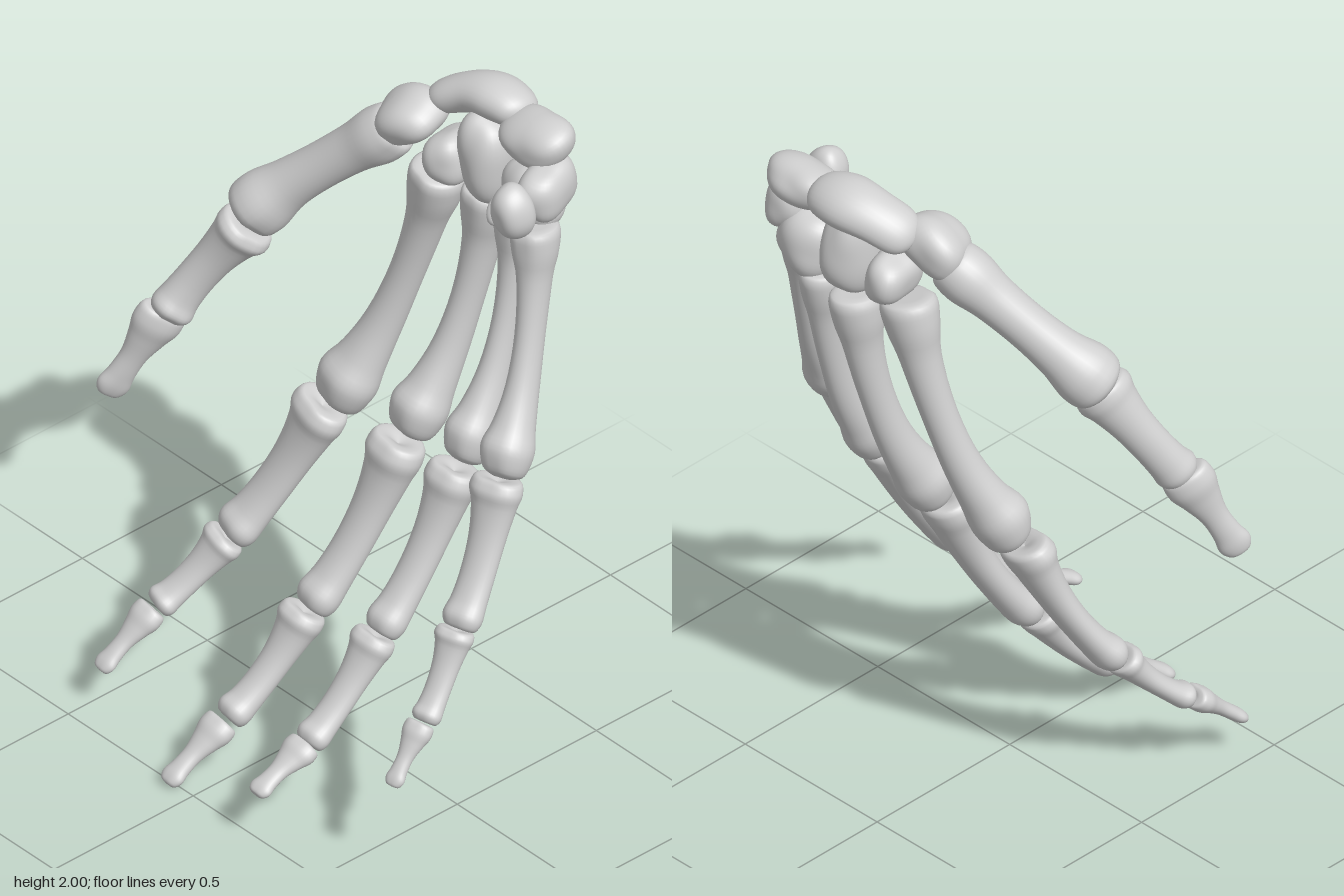
import * as THREE from 'three';

const V = (p) => new THREE.Vector3(...p);

// Profiles: [position along bone, side scale, depth scale, shift toward the palm]
const PROFILES = {
  metacarpal: [[0, 0, 0, 0], [0, 0.6, 0.65, 0], [0.03, 0.9, 0.98, 0], [0.1, 0.86, 0.9, 0], [0.22, 0.64, 0.7, 0],
    [0.45, 0.54, 0.6, 0], [0.65, 0.61, 0.66, 0], [0.8, 0.8, 0.82, 0.08], [0.89, 1, 1.02, 0.16], [0.96, 0.86, 0.86, 0.08], [0.995, 0.5, 0.5, 0], [1, 0, 0, 0]],
  thumbMetacarpal: [[0.02, 0, 0, 0], [0, 0.5, 0.5, 0], [0.03, 0.82, 0.85, 0], [0.12, 0.88, 0.9, 0], [0.28, 0.74, 0.76, 0],
    [0.5, 0.7, 0.72, 0], [0.7, 0.78, 0.78, 0], [0.86, 0.98, 0.98, 0.08], [0.93, 0.96, 0.96, 0.1], [0.99, 0.6, 0.6, 0], [1, 0, 0, 0]],
  phalanx: [[0.03, 0, 0, 0], [0, 0.6, 0.6, 0], [0.02, 0.93, 0.95, 0], [0.08, 1, 1, 0.05], [0.18, 0.86, 0.84, 0],
    [0.4, 0.7, 0.67, -0.04], [0.65, 0.66, 0.61, -0.04], [0.82, 0.69, 0.66, 0], [0.92, 0.75, 0.76, 0.08], [0.98, 0.64, 0.62, 0.05], [1, 0.35, 0.35, 0], [1, 0, 0, 0]],
  tip: [[0.03, 0, 0, 0], [0, 0.6, 0.6, 0], [0.04, 0.96, 0.95, 0], [0.15, 1, 1, 0], [0.32, 0.78, 0.78, 0],
    [0.55, 0.54, 0.58, 0], [0.75, 0.56, 0.56, 0], [0.88, 0.66, 0.55, 0], [0.97, 0.5, 0.42, 0], [1, 0, 0, 0]],
  arch: [[0, 0, 0, 0], [0.01, 0.5, 0.5, 0], [0.12, 0.82, 0.8, 0], [0.35, 0.9, 0.9, 0],
    [0.65, 1, 1, 0], [0.88, 0.85, 0.85, 0], [0.99, 0.45, 0.45, 0], [1, 0, 0, 0]],
};

// Loft of oval cross-sections along a three-point curve
function loft(a, mid, b, w, d, profile, sideRef) {
  const path = new THREE.QuadraticBezierCurve3(a, mid.clone().multiplyScalar(2).addScaledVector(a, -0.5).addScaledVector(b, -0.5), b);
  const rows = PROFILES[profile];
  const spline = (i) => new THREE.CatmullRomCurve3(rows.map((r) => new THREE.Vector3(r[0], r[i], 0)), false, 'centripetal');
  const [ws, ds, os] = [1, 2, 3].map(spline);
  const N = 44, M = 28, pos = [], idx = [];
  for (let i = 0; i <= N; i++) {
    const u = i / N, sw = ws.getPoint(u), sd = ds.getPoint(u), so = os.getPoint(u);
    const t = THREE.MathUtils.clamp(sw.x, 0, 1);
    const c = path.getPoint(t), T = path.getTangent(t);
    const S = sideRef.clone().addScaledVector(T, -sideRef.dot(T)).normalize();
    const B = T.clone().cross(S);
    for (let j = 0; j < M; j++) {
      const q = (j / M) * Math.PI * 2, cs = Math.cos(q), sn = Math.sin(q);
      // a shallow groove on the palm side near both ends
      const groove = sn > 0 ? 1 - 0.14 * Math.exp(-((cs / 0.4) ** 2)) * Math.abs(2 * t - 1) ** 3 : 1;
      const p = c.clone().addScaledVector(S, cs * w * Math.max(0, sw.y))
        .addScaledVector(B, sn * d * groove * Math.max(0, sd.y) + so.y * d);
      pos.push(p.x, p.y, p.z);
      if (i < N) {
        const k = (j + 1) % M, r = i * M;
        idx.push(r + j, r + k, r + M + j, r + k, r + M + k, r + M + j);
      }
    }
  }
  const g = new THREE.BufferGeometry();
  g.setAttribute('position', new THREE.Float32BufferAttribute(pos, 3));
  g.setIndex(idx);
  g.computeVertexNormals();
  return g;
}

// Long bone, bowed away from the palm
function boneGeometry(a, b, w, d, profile, bow, ref) {
  const A = V(a), Bv = V(b), side = V(ref);
  const back = Bv.clone().sub(A).cross(side).normalize().negate();
  return loft(A, A.clone().lerp(Bv, 0.5).addScaledVector(back, bow), Bv, w, d, profile, side);
}

// Wrist pebble: squarish ellipsoid with gentle lumps
function pebbleGeometry(r, seed) {
  const g = new THREE.SphereGeometry(1, 36, 24), p = g.attributes.position, v = new THREE.Vector3();
  for (let i = 0; i < p.count; i++) {
    v.fromBufferAttribute(p, i);
    const k = (Math.abs(v.x) ** 2.5 + Math.abs(v.y) ** 2.5 + Math.abs(v.z) ** 2.5) ** (-1 / 2.5);
    const lump = 1 + 0.08 * Math.sin(3 * v.x + seed) * Math.cos(2.6 * v.y + seed * 2) + 0.06 * Math.sin(3.2 * v.z + seed * 1.7);
    v.multiplyScalar(k * lump);
    p.setXYZ(i, v.x * r[0], v.y * r[1], v.z * r[2]);
  }
  g.computeVertexNormals();
  // match normals across the sphere seam
  const n = g.attributes.normal;
  for (let y = 0; y <= 24; y++) {
    const s = y * 37, e = s + 36;
    const m = new THREE.Vector3().fromBufferAttribute(n, s).add(v.fromBufferAttribute(n, e)).normalize();
    n.setXYZ(s, m.x, m.y, m.z);
    n.setXYZ(e, m.x, m.y, m.z);
  }
  return g;
}

// Each finger: bones as [start, end, half width, half depth, bow]
const FINGERS = {
  thumb: { ref: [0.5, -0.3, -0.8], bones: [
    [[-0.07, 1.79, -0.3], [-0.43, 1.425, -0.065], 0.092, 0.09, 0.01],
    [[-0.39, 1.415, -0.055], [-0.545, 1.11, 0.11], 0.085, 0.078, 0.01],
    [[-0.545, 1.125, 0.11], [-0.645, 0.85, 0.232], 0.072, 0.05, 0]] },
  indexFinger: { ref: [1, -0.1, 0.15], bones: [
    [[0.015, 1.665, -0.37], [-0.19, 0.865, -0.18], 0.09, 0.082, 0.05],
    [[-0.215, 0.865, -0.165], [-0.36, 0.445, 0.04], 0.092, 0.068, 0.02],
    [[-0.36, 0.45, 0.055], [-0.44, 0.26, 0.235], 0.068, 0.05, 0.008],
    [[-0.44, 0.262, 0.25], [-0.47, 0.12, 0.415], 0.052, 0.036, 0]] },
  middleFinger: { ref: [1, 0, 0.05], bones: [
    [[0.15, 1.645, -0.43], [0.07, 0.89, -0.21], 0.08, 0.082, 0.055],
    [[0.065, 0.885, -0.185], [-0.01, 0.405, 0.065], 0.088, 0.074, 0.025],
    [[-0.012, 0.41, 0.085], [-0.06, 0.135, 0.32], 0.071, 0.06, 0.018],
    [[-0.057, 0.14, 0.34], [-0.08, 0.01, 0.525], 0.056, 0.04, 0]] },
  ringFinger: { ref: [1, 0, -0.05], bones: [
    [[0.28, 1.655, -0.42], [0.305, 0.935, -0.195], 0.07, 0.078, 0.055],
    [[0.305, 0.93, -0.17], [0.285, 0.49, 0.083], 0.08, 0.068, 0.025],
    [[0.288, 0.498, 0.1], [0.27, 0.235, 0.33], 0.068, 0.053, 0.015],
    [[0.273, 0.243, 0.34], [0.263, 0.155, 0.515], 0.054, 0.036, 0]] },
  littleFinger: { ref: [1, 0.1, -0.25], bones: [
    [[0.4, 1.685, -0.37], [0.515, 1.015, -0.15], 0.073, 0.077, 0.045],
    [[0.52, 1.028, -0.13], [0.58, 0.655, 0.065], 0.078, 0.06, 0.02],
    [[0.58, 0.66, 0.075], [0.614, 0.44, 0.22], 0.058, 0.045, 0.008],
    [[0.612, 0.443, 0.23], [0.629, 0.3, 0.352], 0.044, 0.033, 0]] },
};

// Wrist bones: [name, centre, radii, rotation, seed]
const WRIST = [
  ['lunate', [0.34, 1.91, -0.435], [0.102, 0.06, 0.09], [0.35, 0.1, 0.12], 1],
  ['trapezium', [-0.035, 1.835, -0.31], [0.1, 0.07, 0.085], [0.2, 0.3, 0.6], 2.2],
  ['trapezoid', [0.055, 1.725, -0.39], [0.064, 0.075, 0.085], [0, 0.2, 0.15], 3.1],
  ['capitate', [0.175, 1.775, -0.415], [0.075, 0.135, 0.095], [0.1, 0, -0.05], 0.4],
  ['hamate', [0.33, 1.725, -0.43], [0.092, 0.095, 0.08], [0.2, -0.2, 0.3], 4.3],
  ['hamateHook', [0.34, 1.735, -0.32], [0.036, 0.04, 0.07], [0.1, 0.15, 0.3], 5],
  ['triquetrum', [0.415, 1.805, -0.4], [0.068, 0.08, 0.092], [0.2, 0.3, -0.2], 2.7],
  ['pisiform', [0.435, 1.8, -0.255], [0.052, 0.075, 0.057], [0.1, 0, 0.15], 1.6],
];

export function createModel() {
  const root = new THREE.Group();
  root.name = 'handSkeleton';
  const bone = new THREE.MeshStandardMaterial({ color: 0xd0d0d0 });
  bone.name = 'bone';
  const add = (parent, geometry, name) => {
    const m = new THREE.Mesh(geometry, bone);
    m.name = name;
    parent.add(m);
    return m;
  };

  // Thumb and fingers
  for (const [name, { ref, bones }] of Object.entries(FINGERS)) {
    const finger = new THREE.Group();
    finger.name = name;
    bones.forEach(([a, b, w, d, bow], i) => {
      const last = i === bones.length - 1;
      const base = name === 'thumb' ? 'thumbMetacarpal' : 'metacarpal';
      const profile = i === 0 ? base : last ? 'tip' : 'phalanx';
      const part = i === 0 ? 'metacarpal' : last ? 'distalPhalanx' : i === 1 ? 'proximalPhalanx' : 'middlePhalanx';
      add(finger, boneGeometry(a, b, w, d, profile, bow, ref), part);
    });
    root.add(finger);
  }

  // Wrist
  const wrist = new THREE.Group();
  wrist.name = 'wrist';
  for (const [name, c, r, rot, seed] of WRIST) {
    const m = add(wrist, pebbleGeometry(r, seed), name);
    m.position.set(...c);
    m.rotation.set(...rot);
  }
  // Curved bone across the top of the wrist
  add(wrist, loft(V([-0.01, 1.865, -0.375]), V([0.12, 1.935, -0.44]), V([0.27, 1.925, -0.45]), 0.086, 0.062, 'arch', V([0, 0.25, 1])), 'scaphoid');
  root.add(wrist);
  return root;
}
